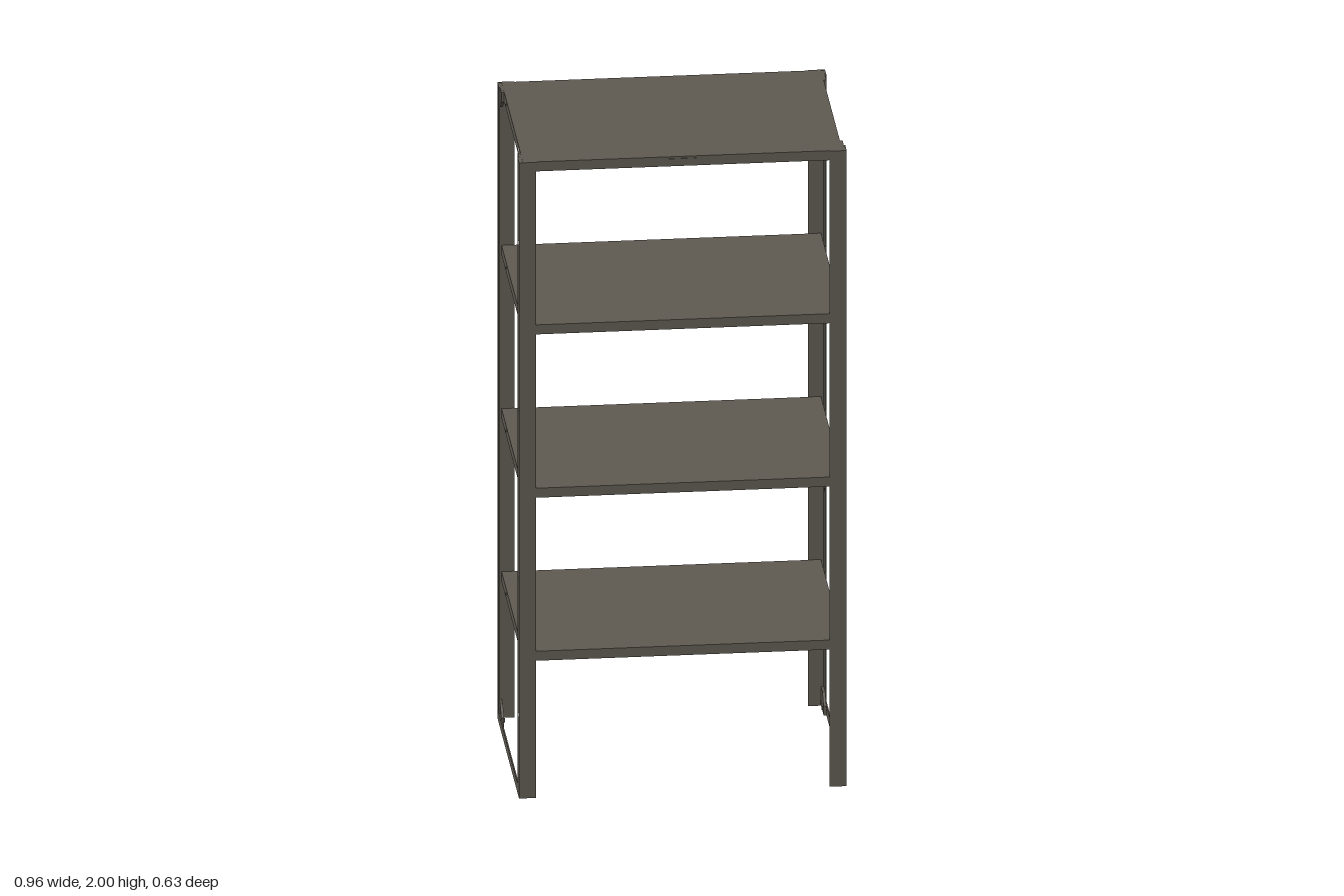
import * as THREE from 'three';

const steel = new THREE.MeshStandardMaterial({ color: 0x5d5850 });
steel.name = 'grey brown steel';

const T = 0.004;          // sheet thickness
const X = 0.48;           // outer half width
const Z = 0.315;          // outer half depth
const SHELF_X = 0.468, SHELF_Z = 0.311, SHELF_H = 0.03;
const shelfTops = [0.46, 0.973, 1.487, 2];

function box(name, w, h, d, x, y, z) {
  const m = new THREE.Mesh(new THREE.BoxGeometry(w, h, d), steel);
  m.name = name;
  m.position.set(x, y, z);
  return m;
}

// Upright sheet in the z-y plane, outer face at x = +outer or -outer, with round holes
function sidePlate(name, points, holes, side, outer, thick = T) {
  const shape = new THREE.Shape(points.map(([z, y]) => new THREE.Vector2(-z, y)));
  for (const [z, y] of holes) {
    const hole = new THREE.Path();
    hole.absarc(-z, y, 0.006, 0, Math.PI * 2, true);
    shape.holes.push(hole);
  }
  const g = new THREE.ExtrudeGeometry(shape, { depth: thick, bevelEnabled: false, curveSegments: 6 });
  g.rotateY(Math.PI / 2);
  g.translate(side > 0 ? outer - thick : -outer, 0, 0);
  const m = new THREE.Mesh(g, steel);
  m.name = name;
  return m;
}

const rect = (z0, z1, y0, y1) => [[z0, y0], [z1, y0], [z1, y1], [z0, y1]];

// Angle-iron post: wide flange on the front or back, drilled flange on the side
function post(sx, sz) {
  const g = new THREE.Group();
  g.name = 'cornerPost';
  g.add(box('wideFlange', 0.05, 2, T, sx * (X - 0.025), 1, sz * (Z - T / 2)));
  const holes = [0.255, 0.685, 1.215, 1.74].map(y => [sz * 0.295, y]);
  g.add(sidePlate('sideFlange', rect(sz * 0.273, sz * (Z - T), 0, 2), holes, sx, X));
  return g;
}

// Corner plate with its inner corner cut off
function gusset(sx, sz, top) {
  const g = new THREE.Group();
  g.name = 'cornerGusset';
  const y = d => (top ? 1.999 - d : d);
  const pts = [[0.31, 0], [0.235, 0], [0.235, 0.03], [0.27, 0.06], [0.31, 0.06]]
    .map(([z, d]) => [sz * z, y(d)]);
  g.add(sidePlate('gussetPlate', pts, [], sx, X - T, 0.008));
  for (const z of [0.25, 0.295]) {
    const bolt = new THREE.Mesh(new THREE.CylinderGeometry(0.006, 0.006, 0.004, 6), steel);
    bolt.name = 'bolt';
    bolt.rotation.z = Math.PI / 2;
    bolt.position.set(sx * 0.466, y(0.017), sz * z);
    g.add(bolt);
  }
  return g;
}

// Shallow tray, open below, with drilled end rims
function shelf(top) {
  const g = new THREE.Group();
  g.name = 'shelf';
  g.add(box('shelfTop', SHELF_X * 2, T, SHELF_Z * 2, 0, top - T / 2, 0));
  for (const s of [-1, 1]) {
    g.add(box('longRim', SHELF_X * 2, SHELF_H - T, T, 0, top - (SHELF_H + T) / 2, s * (SHELF_Z - T / 2)));
    g.add(sidePlate('endRim', rect(-SHELF_Z + T, SHELF_Z - T, top - SHELF_H, top - T),
      [[-0.17, top - 0.015], [0.17, top - 0.015]], s, SHELF_X));
  }
  return g;
}

export function createModel() {
  const model = new THREE.Group();
  model.name = 'shelvingRack';
  for (const sx of [-1, 1]) {
    for (const sz of [-1, 1]) {
      model.add(post(sx, sz), gusset(sx, sz, false), gusset(sx, sz, true));
    }
    model.add(box('bottomBar', T, 0.03, 0.546, sx * (X - T / 2), 0.015, 0));
  }
  for (const top of shelfTops) model.add(shelf(top));
  // Small blank plate on the front rim of the top shelf
  model.add(box('frontPlate', 0.08, 0.018, 0.002, 0, 1.985, SHELF_Z + 0.001));
  return model;
}
